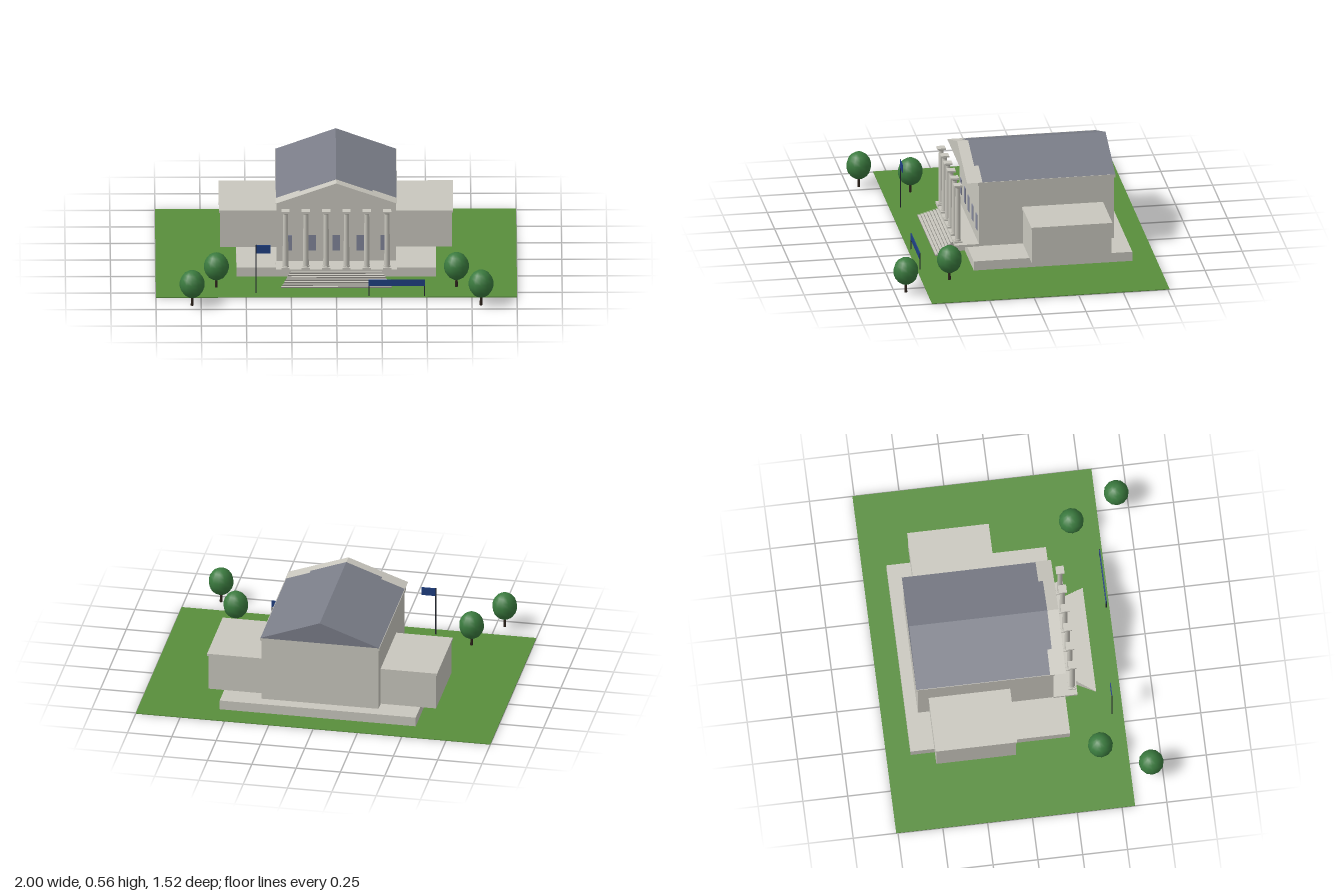
import * as THREE from 'three';

const mat = (name, color) => {
  const m = new THREE.MeshStandardMaterial({ color });
  m.name = name;
  return m;
};

export function createModel() {
  const root = new THREE.Group();
  root.name = 'civicBuilding';

  const stone = mat('stone', 0xc9c7be);
  const stepGrey = mat('stepGrey', 0x8e8c86);
  const slate = mat('slate', 0x7a7d88);
  const glass = mat('windowGlass', 0x82869a);
  const grass = mat('grass', 0x588e3c);
  const leaf = mat('leaf', 0x3a7a3e);
  const bark = mat('bark', 0x2e241c);
  const navy = mat('navy', 0x1f3f82);
  const iron = mat('iron', 0x23262e);

  const add = (name, geo, material, x = 0, y = 0, z = 0, parent = root) => {
    const m = new THREE.Mesh(geo, material);
    m.name = name;
    m.position.set(x, y, z);
    parent.add(m);
    return m;
  };
  // Box given by its limits on each axis
  const block = (name, material, x0, x1, y0, y1, z0, z1, parent = root) =>
    add(name, new THREE.BoxGeometry(x1 - x0, y1 - y0, z1 - z0), material,
      (x0 + x1) / 2, (y0 + y1) / 2, (z0 + z1) / 2, parent);
  // Triangular prism running along z
  const gable = (name, material, halfWidth, y0, y1, z0, z1) => {
    const s = new THREE.Shape();
    s.moveTo(-halfWidth, y0);
    s.lineTo(halfWidth, y0);
    s.lineTo(0, y1);
    s.closePath();
    add(name, new THREE.ExtrudeGeometry(s, { depth: z1 - z0, bevelEnabled: false }), material, 0, 0, z0);
  };

  // Ground and main masses
  block('lawn', grass, -1, 1, 0, 0.004, -0.76, 0.573);
  block('plinth', stone, -0.553, 0.553, 0.004, 0.058, -0.625, 0.265);
  block('hall', stone, -0.33, 0.33, 0.058, 0.42, -0.558, 0.2);
  block('cornice', stone, -0.337, 0.337, 0.42, 0.438, -0.565, 0.205);
  gable('roof', slate, 0.337, 0.437, 0.56, -0.566, 0.205);
  gable('pediment', stone, 0.337, 0.438, 0.5585, 0.18, 0.267);

  // Side wings with a flat cap
  for (const side of [-1, 1]) {
    const wing = new THREE.Group();
    wing.name = side > 0 ? 'leftWing' : 'rightWing';
    root.add(wing);
    const cx = side * 0.484;
    add('wingBody', new THREE.BoxGeometry(0.316, 0.204, 0.445), stone, cx, 0.16, -0.27, wing);
    add('wingCap', new THREE.BoxGeometry(0.33, 0.014, 0.455), stone, cx, 0.269, -0.27, wing);
  }

  // Portico floor and flared stairs
  block('porticoFloor', stone, -0.335, 0.335, 0.058, 0.072, 0.2, 0.333);
  block('stairCore', stone, -0.25, 0.25, 0.004, 0.058, 0.26, 0.333);
  const stairs = new THREE.Group();
  stairs.name = 'stairs';
  root.add(stairs);
  const stepCount = 7;
  const stepMaterials = [stone, stone, stone, stone, stepGrey, stone];
  for (let i = 0; i < stepCount; i++) {
    const t0 = i / stepCount, t1 = (i + 1) / stepCount;
    const z0 = 0.33 + 0.11 * t0, z1 = 0.33 + 0.11 * t1;
    const top = 0.004 + 0.056 * (1 - t0);
    const depth = z1 - z0;
    const geo = new THREE.BoxGeometry(1, top, depth);
    const p = geo.attributes.position;
    for (let v = 0; v < p.count; v++) {
      const half = 0.25 + 0.058 * (p.getZ(v) > 0 ? t1 : t0);
      p.setX(v, Math.sign(p.getX(v)) * half);
    }
    geo.computeVertexNormals();
    add('step', geo, stepMaterials, 0, top / 2, (z0 + z1) / 2, stairs);
  }

  // Free-standing columns
  const shaft = new THREE.CylinderGeometry(0.0135, 0.0165, 0.312, 16);
  const ring = new THREE.CylinderGeometry(0.019, 0.019, 0.008, 16);
  const neck = new THREE.CylinderGeometry(0.02, 0.0135, 0.01, 16);
  const slab = new THREE.BoxGeometry(0.046, 0.01, 0.046);
  for (let i = 0; i < 6; i++) {
    const column = new THREE.Group();
    column.name = 'column';
    column.position.set((i - 2.5) * 0.1125, 0, 0.31);
    root.add(column);
    add('columnFoot', slab, stone, 0, 0.077, 0, column);
    add('columnBase', ring, stone, 0, 0.086, 0, column);
    add('columnShaft', shaft, stone, 0, 0.24, 0, column);
    add('columnNeck', neck, stone, 0, 0.4, 0, column);
    add('columnCapital', slab, stone, 0, 0.409, 0, column);
  }

  // Front windows
  for (let i = -2; i <= 2; i++) {
    add('window', new THREE.BoxGeometry(0.044, 0.09, 0.006), glass, i * 0.134, 0.181, 0.201);
  }

  // Flag on its pole
  add('flagPole', new THREE.CylinderGeometry(0.003, 0.003, 0.29, 8), iron, -0.445, 0.145, 0.512);
  block('flag', navy, -0.443, -0.366, 0.241, 0.288, 0.51, 0.514);

  // Sign board on two posts
  for (const x of [0.18, 0.488]) {
    add('signPost', new THREE.CylinderGeometry(0.003, 0.003, 0.1, 8), iron, x, 0.05, 0.556);
  }
  block('signBoard', navy, 0.178, 0.49, 0.063, 0.1, 0.553, 0.559);

  // Trees
  const crown = new THREE.SphereGeometry(0.07, 12, 9);
  crown.scale(1, 1.13, 1);
  const trunk = new THREE.CylinderGeometry(0.006, 0.008, 0.07, 8);
  for (const side of [-1, 1]) {
    for (const [x, z] of [[0.665, 0.42], [0.8, 0.687]]) {
      const tree = new THREE.Group();
      tree.name = 'tree';
      tree.position.set(side * x, 0, z);
      root.add(tree);
      add('treeTrunk', trunk, bark, 0, 0.035, 0, tree);
      add('treeCrown', crown, leaf, 0, 0.127, 0, tree);
    }
  }

  return root;
}
